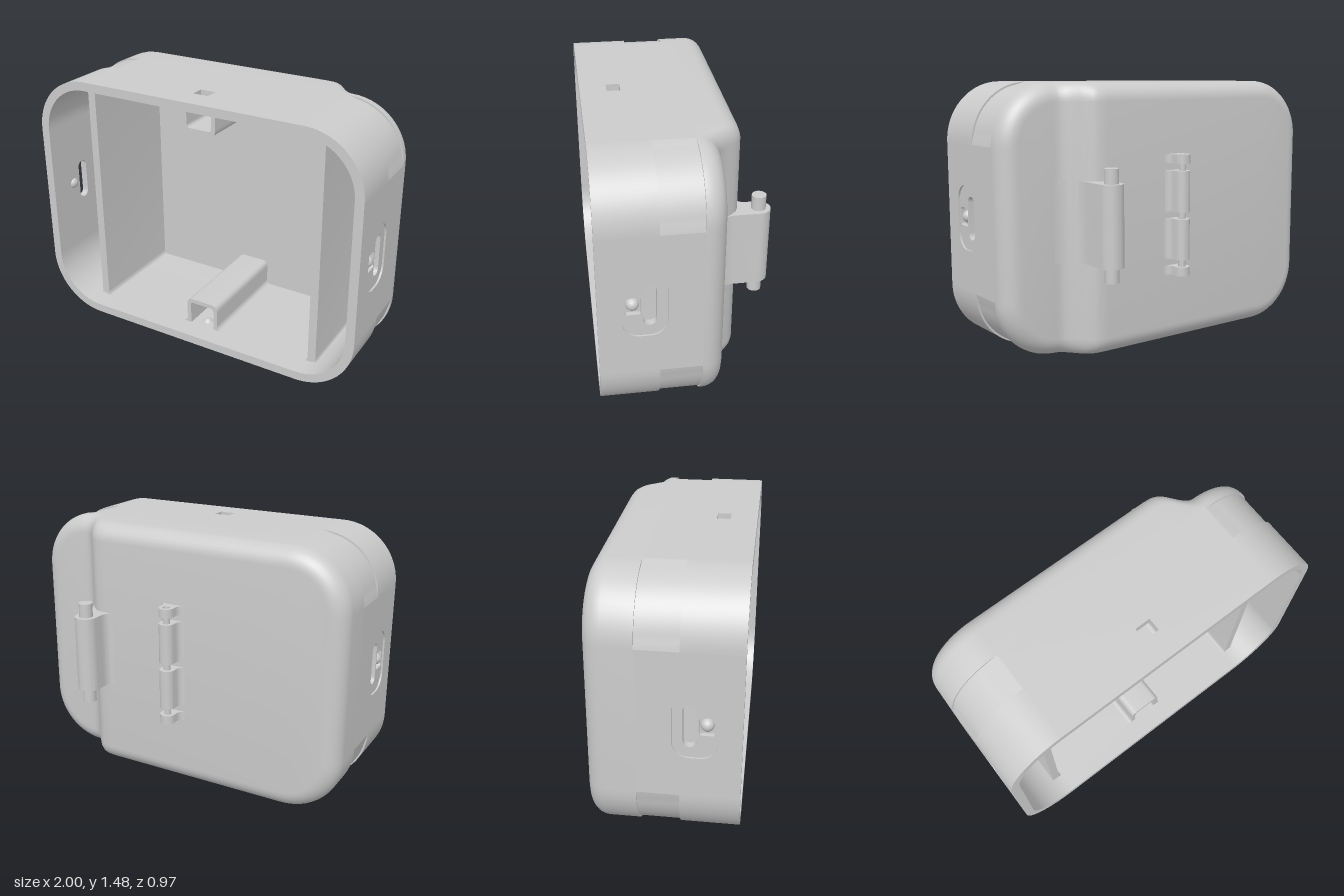
import * as THREE from 'three';
import { toCreasedNormals } from 'three/addons/utils/BufferGeometryUtils.js';

const H = 1.475, R = 0.33, CX = 0.67, CY = H - R, WALL = 0.05;
const FRONT = 0.48, SEAM = -0.05, BACK = -0.31, SHALLOW = -0.165;
const material = new THREE.MeshStandardMaterial({ color: 0xcccccc });

export function createModel() {
  const model = new THREE.Group();
  model.name = 'housing';

  function add(name, geometry, x = 0, y = 0, z = 0) {
    const mesh = new THREE.Mesh(geometry, material);
    mesh.name = name;
    mesh.position.set(x, y, z);
    model.add(mesh);
    return mesh;
  }
  const extrude = (shape, depth) => toCreasedNormals(
    new THREE.ExtrudeGeometry(shape, { depth, bevelEnabled: false, curveSegments: 12 }), 0.6);
  const alongX = (shape, depth) => extrude(shape, depth).rotateY(Math.PI / 2); // shape x = -z
  const downY = (shape, depth) => extrude(shape, depth).rotateX(Math.PI / 2);  // shape y = z

  // Rounded rectangle outline
  function rounded(x0, y0, x1, y1, r = 0, target = new THREE.Shape()) {
    if (!r) {
      target.moveTo(x0, y0).lineTo(x1, y0).lineTo(x1, y1).lineTo(x0, y1).lineTo(x0, y0);
      return target;
    }
    target.moveTo(x0 + r, y0).lineTo(x1 - r, y0);
    target.absarc(x1 - r, y0 + r, r, -Math.PI / 2, 0);
    target.absarc(x1 - r, y1 - r, r, 0, Math.PI / 2);
    target.absarc(x0 + r, y1 - r, r, Math.PI / 2, Math.PI);
    target.absarc(x0 + r, y0 + r, r, Math.PI, Math.PI * 1.5);
    return target;
  }
  const hole = (...a) => rounded(...a, new THREE.Path());

  // Side walls: shallow recess outside, slot and catch window through the wall
  for (const s of [1, -1]) {
    const outer = rounded(-FRONT, R, -SEAM, CY);
    outer.holes.push(hole(-0.36, 0.56, -0.13, 0.92, 0.09));
    const inner = rounded(-FRONT, R, -SEAM, CY);
    inner.holes.push(hole(-0.255, 0.62, -0.185, 0.86, 0.034), hole(-0.345, 0.69, -0.265, 0.79, 0.012));
    add('sideWallOuter', alongX(outer, 0.01), s > 0 ? 0.99 : -1);
    add('sideWallInner', alongX(inner, 0.04), s > 0 ? 0.95 : -0.99);
    add('sideCatchPlate', new THREE.BoxGeometry(0.015, 0.1, 0.08), s * 0.9575, 0.74, 0.305);
    add('sideCatch', new THREE.SphereGeometry(0.035, 20, 14), s * 0.965, 0.74, 0.305);
  }

  // Top and bottom walls with a square window
  for (const y of [H, WALL]) {
    const wall = rounded(-CX, SEAM, CX, FRONT);
    wall.holes.push(hole(-0.045, 0.26, 0.045, 0.335, 0));
    add(y === H ? 'topWall' : 'bottomWall', downY(wall, WALL), 0, y);
  }
  add('bottomCatchPlate', new THREE.BoxGeometry(0.09, 0.015, 0.075), 0, 0.0425, 0.2975);
  add('bottomCatch', new THREE.SphereGeometry(0.034, 20, 14), 0, 0.034, 0.2975);

  // Corner walls, with a shallow recessed band behind the rim
  function cornerShape(recess) {
    const pts = [], n = 24;
    for (let i = 0; i <= n; i++) {
      const a = i / n * Math.PI / 2, r = R - recess * Math.min(1, 3 * Math.sin(2 * a));
      pts.push(new THREE.Vector2(r * Math.cos(a), r * Math.sin(a)));
    }
    for (let i = n; i >= 0; i--) {
      const a = i / n * Math.PI / 2;
      pts.push(new THREE.Vector2((R - WALL) * Math.cos(a), (R - WALL) * Math.sin(a)));
    }
    return new THREE.Shape(pts);
  }
  [[CX, CY], [-CX, CY], [-CX, R], [CX, R]].forEach(([x, y], k) => {
    add('cornerRim', extrude(cornerShape(0), FRONT - 0.17), x, y, 0.17).rotation.z = k * Math.PI / 2;
    add('cornerRecess', extrude(cornerShape(0.01), 0.17 - SEAM), x, y, SEAM).rotation.z = k * Math.PI / 2;
  });

  // Closed back: inset rings following a depth profile [x, z], capped by vertical strips
  function backShell(profile, rings, flip) {
    const pos = [], index = [], arc = 14;
    let count = 0;
    for (const [inset, depth] of rings) {
      const r = R - inset, top = [];
      for (let i = 0; i < arc; i++) {
        const a = Math.PI - i / arc * Math.PI / 2;
        top.push([-CX + r * Math.cos(a), CY + r * Math.sin(a), depth(profile[0][1])]);
      }
      for (const [x, z] of profile) top.push([x, CY + r, depth(z)]);
      for (let i = 1; i <= arc; i++) {
        const a = Math.PI / 2 - i / arc * Math.PI / 2;
        top.push([CX + r * Math.cos(a), CY + r * Math.sin(a), depth(profile.at(-1)[1])]);
      }
      const bottom = top.map(([x, y, z]) => [x, H - y, z]).reverse();
      count = top.length * 2;
      pos.push(...top.flat(), ...bottom.flat());
    }
    const quad = (a, b, c, d) => index.push(...(flip ? [a, c, b, a, d, c] : [a, b, c, a, c, d]));
    for (let k = 0; k < rings.length - 1; k++) {
      for (let i = 0; i < count; i++) {
        const j = (i + 1) % count, a = k * count, b = a + count;
        quad(a + i, a + j, b + j, b + i);
      }
    }
    const last = (rings.length - 1) * count;
    for (let i = 0; i < count / 2 - 1; i++) {
      quad(last + i, last + i + 1, last + count - 2 - i, last + count - 1 - i);
    }
    const g = new THREE.BufferGeometry();
    g.setAttribute('position', new THREE.Float32BufferAttribute(pos, 3));
    g.setIndex(index);
    return toCreasedNormals(g, 0.6);
  }
  const step = [[-CX, BACK], [0.45, BACK], [0.5, -0.306], [0.53, -0.293], [0.555, -0.271], [0.577, -0.243],
    [0.6, -0.214], [0.625, -0.188], [0.648, -0.172], [CX, SHALLOW]];
  const fillet = 0.1, rings = [[WALL, () => SEAM], [0, () => SEAM]];
  for (let i = 0; i <= 8; i++) {
    const a = i / 8 * Math.PI / 2;
    rings.push([fillet * (1 - Math.cos(a)), z => z + fillet * (1 - Math.sin(a))]);
  }
  add('backShell', backShell(step, rings, false));
  add('backLining', backShell(
    [[-CX, BACK + WALL], [0.53, BACK + WALL], [0.53, SHALLOW + WALL], [CX, SHALLOW + WALL]],
    [[WALL, () => SEAM], [WALL, z => z]], true));

  // Inner partitions with flared ends
  const lo = 0.045, hi = H - 0.045, f = 0.035, w = 0.0235;
  const partition = new THREE.Shape();
  partition.moveTo(-w - f, lo).lineTo(w + f, lo).quadraticCurveTo(w, lo, w, lo + f);
  partition.lineTo(w, hi - f).quadraticCurveTo(w, hi, w + f, hi);
  partition.lineTo(-w - f, hi).quadraticCurveTo(-w, hi, -w, hi - f);
  partition.lineTo(-w, lo + f).quadraticCurveTo(-w, lo, -w - f, lo);
  for (const [x, z] of [[-0.715, BACK + 0.04], [0.712, SHALLOW + 0.04]]) {
    add('partition', extrude(partition, 0.36 - z), x, 0, z);
  }

  // Channels along the floor and ceiling
  const channel = new THREE.Shape();
  channel.moveTo(-0.14, 0).quadraticCurveTo(-0.102, 0, -0.102, 0.035).lineTo(-0.102, 0.125);
  channel.quadraticCurveTo(-0.102, 0.165, -0.062, 0.165).lineTo(0.062, 0.165);
  channel.quadraticCurveTo(0.102, 0.165, 0.102, 0.125).lineTo(0.102, 0.035);
  channel.quadraticCurveTo(0.102, 0, 0.14, 0).lineTo(0.077, 0).lineTo(0.077, 0.12);
  channel.quadraticCurveTo(0.077, 0.14, 0.057, 0.14).lineTo(-0.057, 0.14);
  channel.quadraticCurveTo(-0.077, 0.14, -0.077, 0.12).lineTo(-0.077, 0);
  const channelDepth = 0.36 - BACK - 0.04;
  add('floorChannel', extrude(channel, channelDepth), 0, 0.048, BACK + 0.04);
  add('ceilingChannel', extrude(channel, channelDepth), 0, H - 0.048, BACK + 0.04).rotation.z = Math.PI;

  // Large hinge barrel blending into the step, with its pin
  const barrel = new THREE.Shape();
  barrel.moveTo(0.39, -0.308).quadraticCurveTo(0.445, -0.31, 0.445, -0.37).lineTo(0.445, -0.42);
  barrel.absarc(0.51, -0.42, 0.065, Math.PI, Math.PI * 2);
  barrel.lineTo(0.575, -0.28).bezierCurveTo(0.58, -0.21, 0.63, -0.167, 0.7, -0.165);
  barrel.lineTo(0.6, -0.16).lineTo(0.52, -0.27);
  add('hingeBarrel', downY(barrel, 0.44), 0, 0.96);
  add('hingePin', new THREE.CylinderGeometry(0.039, 0.039, 0.6, 24), 0.51, 0.74, -0.42);

  // Small hinge knuckles on a thin pin
  const knuckle = new THREE.Shape();
  knuckle.moveTo(-0.085, -0.308).quadraticCurveTo(-0.043, -0.312, -0.043, -0.35).lineTo(-0.043, -0.373);
  knuckle.absarc(0, -0.373, 0.043, Math.PI, Math.PI * 2);
  knuckle.lineTo(0.043, -0.35).quadraticCurveTo(0.043, -0.312, 0.085, -0.308);
  knuckle.holes.push(new THREE.Path().absarc(0, -0.373, 0.02, 0, Math.PI * 2));
  for (const [y0, y1] of [[0.4, 0.45], [0.49, 0.72], [0.76, 0.99], [1.03, 1.08]]) {
    add('smallKnuckle', downY(knuckle, y1 - y0), 0, y1);
  }
  add('smallPin', new THREE.CylinderGeometry(0.02, 0.02, 0.64, 16), 0, 0.74, -0.373);

  return model;
}
